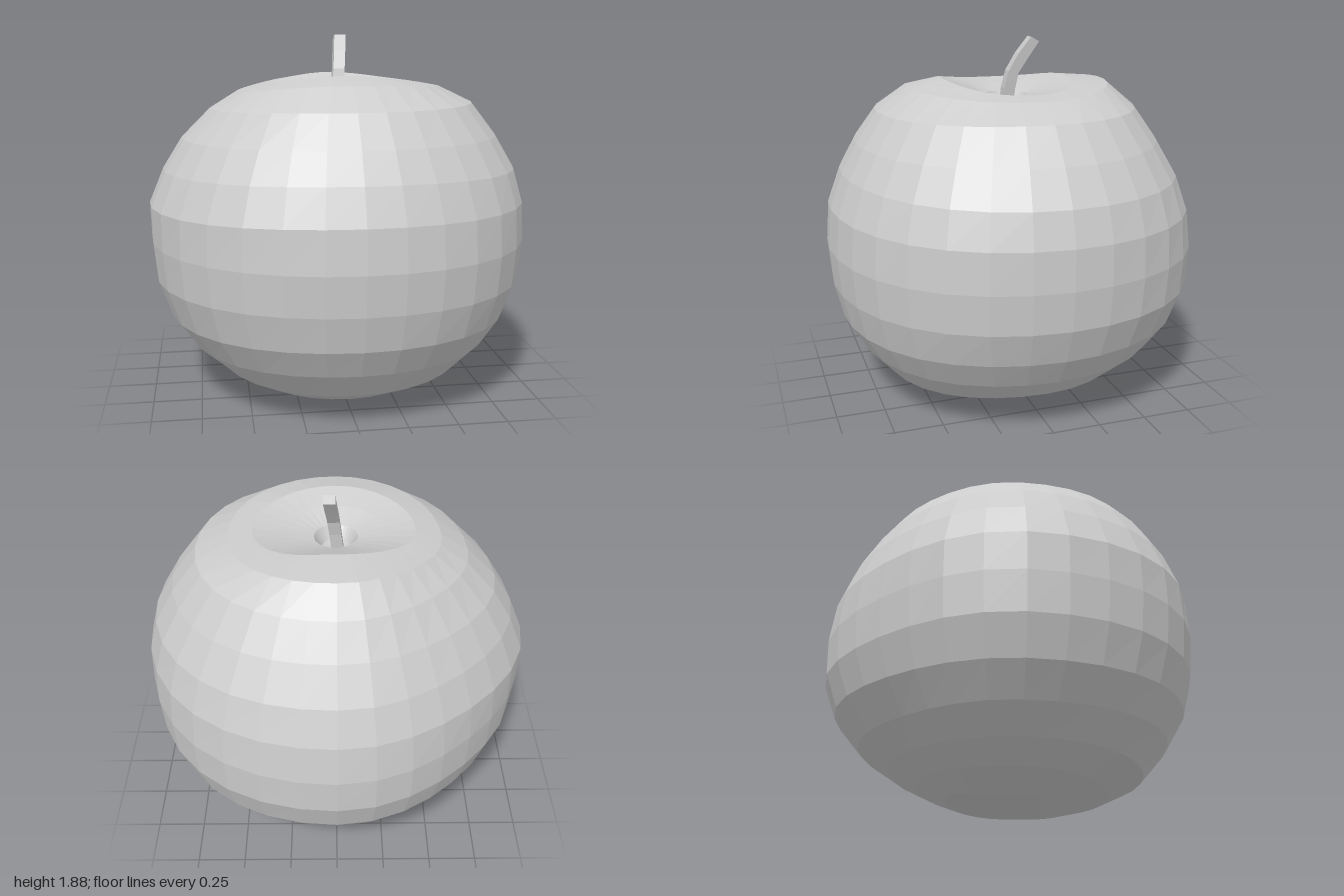
import * as THREE from 'three';

const SEGMENTS = 32;

// Rings from the bottom to the shoulder.
// Each holds radius, then height, toward +x, +z, -x and -z.
const BODY = [
  [[0.34, 0.29, 0.28, 0.32], [0.035, 0.0, 0.005, 0.045]],
  [[0.48, 0.50, 0.50, 0.48], [0.085, 0.06, 0.08, 0.12]],
  [[0.66, 0.68, 0.65, 0.62], [0.17, 0.15, 0.17, 0.20]],
  [[0.80, 0.81, 0.79, 0.77], [0.30, 0.30, 0.29, 0.30]],
  [[0.90, 0.90, 0.90, 0.90], [0.45, 0.45, 0.44, 0.46]],
  [[0.97, 0.945, 0.97, 0.96], [0.63, 0.63, 0.63, 0.63]],
  [[0.99, 0.962, 0.99, 0.965], [0.83, 0.83, 0.83, 0.82]],
  [[0.985, 0.945, 0.995, 0.935], [1.03, 1.04, 1.02, 1.02]],
  [[0.94, 0.88, 0.92, 0.865], [1.2, 1.22, 1.2, 1.2]],
  [[0.84, 0.80, 0.82, 0.76], [1.37, 1.37, 1.36, 1.38]],
  [[0.71, 0.69, 0.67, 0.65], [1.54, 1.53, 1.51, 1.54]],
  [[0.54, 0.53, 0.53, 0.52], [1.62, 1.645, 1.595, 1.66]],
  [[0.42, 0.35, 0.40, 0.31], [1.635, 1.685, 1.63, 1.68]],
  [[0.27, 0.22, 0.25, 0.20], [1.615, 1.64, 1.615, 1.63]],
];

// Round rings, given as one radius and one height
const evenRing = ([r, y]) => [Array(4).fill(r), Array(4).fill(y)];
const DIMPLE = [[0, 0.085], [0.15, 0.055]].map(evenRing);
const PIT = [[0.11, 1.59], [0.07, 1.53], [0, 1.51]].map(evenRing);

// Lopsided outline: extra radius on each diagonal, starting between +x and +z
const BULGES = [0.022, 0.02, -0.045, 0.018];

// Smooth blend between the four directions
function around(values, angle) {
  const t = angle / (Math.PI / 2);
  const i = Math.floor(t) % 4;
  return THREE.MathUtils.lerp(values[i], values[(i + 1) % 4], Math.sin((t % 1) * Math.PI / 2) ** 2);
}

function fruitGeometry() {
  const rings = [...DIMPLE, ...BODY, ...PIT];
  const last = rings.length - 1;
  const positions = [];
  const index = [];
  rings.forEach(([radii, heights], row) => {
    for (let s = 0; s < SEGMENTS; s++) {
      const a = (s / SEGMENTS) * Math.PI * 2;
      const bulge = BULGES[Math.floor((s * 4) / SEGMENTS)];
      const r = around(radii, a) * (1 + bulge * Math.sin(2 * a) ** 2);
      positions.push(Math.cos(a) * r, around(heights, a), Math.sin(a) * r);
      if (row === last) continue;
      const p = row * SEGMENTS + s;
      const q = row * SEGMENTS + ((s + 1) % SEGMENTS);
      const pUp = p + SEGMENTS, qUp = q + SEGMENTS;
      // The fan at each pole needs only one triangle of the quad
      if (row > 0) index.push(p, pUp, q);
      if (row < last - 1) index.push(q, pUp, qUp);
    }
  });
  const geometry = new THREE.BufferGeometry();
  geometry.setAttribute('position', new THREE.Float32BufferAttribute(positions, 3));
  geometry.setIndex(index);
  geometry.computeVertexNormals();
  return geometry;
}

// Square stem bending backwards and leaning a little to +x
function stemGeometry() {
  const outline = [
    [-0.03, 1.5], [0.03, 1.5], [0.04, 1.62], [0.055, 1.70], [0.10, 1.77],
    [0.16, 1.86], [0.115, 1.885], [0.05, 1.80], [0.0, 1.71], [-0.02, 1.62],
  ].map(([u, y]) => new THREE.Vector2(u, y));
  const geometry = new THREE.ExtrudeGeometry(new THREE.Shape(outline), { depth: 0.06, bevelEnabled: false });
  geometry.rotateY(Math.PI / 2);
  const pos = geometry.attributes.position;
  for (let i = 0; i < pos.count; i++) {
    pos.setX(i, pos.getX(i) - 0.018 + (pos.getY(i) - 1.69) * 0.12);
  }
  geometry.computeVertexNormals();
  return geometry;
}

export function createModel() {
  const grey = new THREE.MeshStandardMaterial({ color: 0xcccccc, flatShading: true });
  grey.name = 'plain grey';

  const group = new THREE.Group();
  group.name = 'apple';

  const fruit = new THREE.Mesh(fruitGeometry(), grey);
  fruit.name = 'fruit';
  const stem = new THREE.Mesh(stemGeometry(), grey);
  stem.name = 'stem';
  group.add(fruit, stem);
  return group;
}
